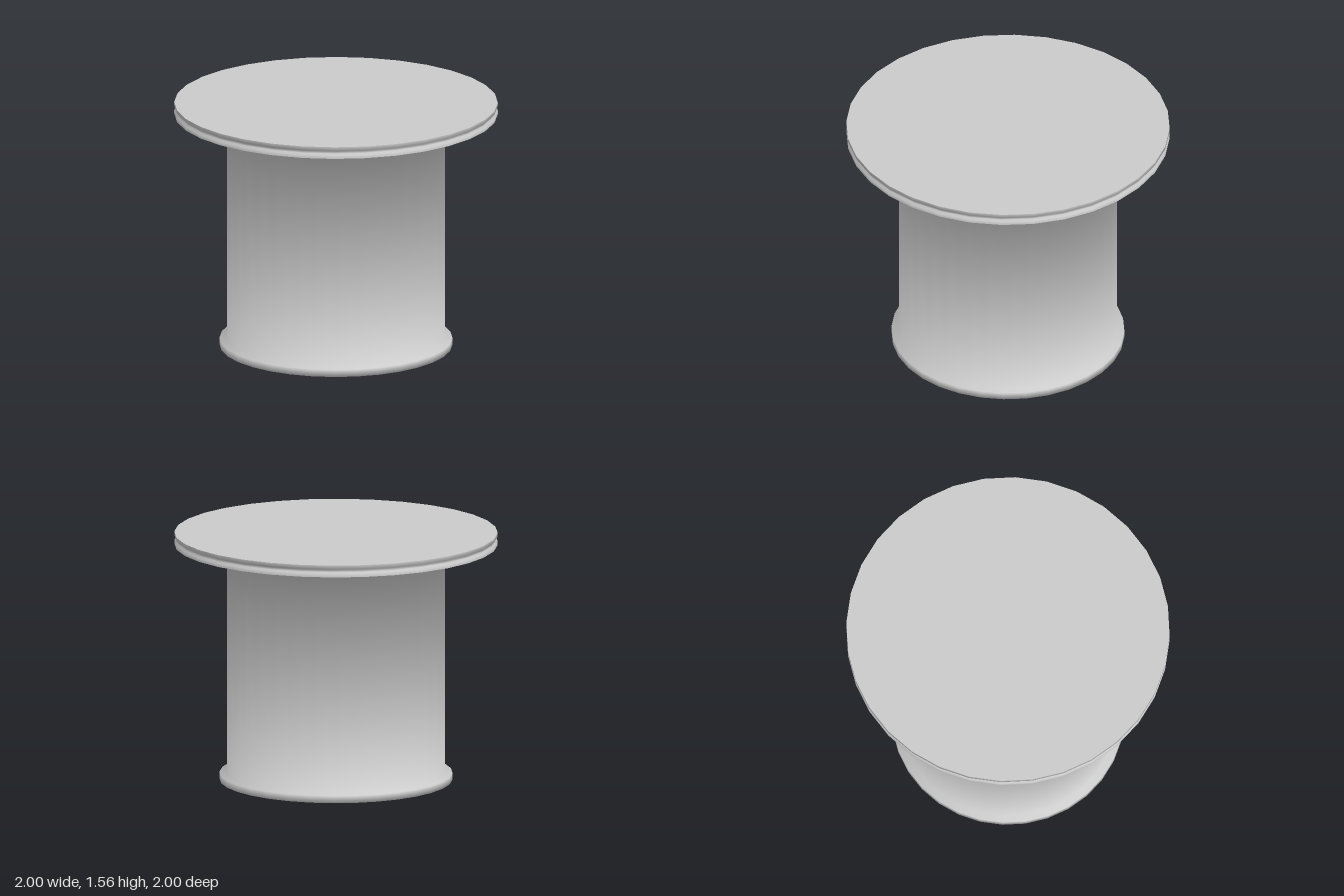
import * as THREE from 'three';

const SIDES = 32;
const material = new THREE.MeshStandardMaterial({ color: 0xcccccc });

// Turned surface whose normals blend evenly across every profile corner
function turned(name, profile) {
  const points = profile.map(([r, y]) => new THREE.Vector2(r, y));
  const geometry = new THREE.LatheGeometry(points, SIDES);
  const segments = points.slice(1).map((p, i) =>
    new THREE.Vector2(p.y - points[i].y, points[i].x - p.x).normalize());
  const normals = geometry.attributes.normal;
  const count = points.length;
  points.forEach((_, j) => {
    const before = segments[Math.max(j - 1, 0)];
    const after = segments[Math.min(j, count - 2)];
    const n = j === 0 ? after.clone() : before.clone().add(after).normalize();
    if (points[j].x === 0) n.set(0, Math.sign(n.y));
    for (let i = 0; i <= SIDES; i++) {
      const a = (i / SIDES) * Math.PI * 2;
      normals.setXYZ(i * count + j, n.x * Math.sin(a), n.y, n.x * Math.cos(a));
    }
  });
  const mesh = new THREE.Mesh(geometry, material);
  mesh.name = name;
  return mesh;
}

// Flat round face turned up (1) or down (-1)
function disc(name, radius, y, direction) {
  const geometry = new THREE.CircleGeometry(radius, SIDES);
  geometry.rotateX(-direction * Math.PI / 2);
  const mesh = new THREE.Mesh(geometry, material);
  mesh.position.y = y;
  mesh.name = name;
  return mesh;
}

export function createModel() {
  const model = new THREE.Group();
  model.name = 'roundTable';

  // Foot plate and drum pedestal, flowing into each other
  model.add(turned('pedestal', [
    [0, 0], [0.72, 0], [0.72, 0.045], [0.675, 0.045], [0.675, 1.486], [0.69, 1.486],
  ]));

  // Table top with a shallow groove around its rim
  const top = new THREE.Group();
  top.name = 'tableTop';
  top.add(
    turned('grooveRim', [
      [1, 1.485], [1, 1.507], [0.987, 1.515], [0.987, 1.53], [1, 1.538], [1, 1.56],
    ]),
    disc('topFace', 1, 1.56, 1),
    disc('underside', 1, 1.485, -1),
  );
  model.add(top);

  return model;
}
